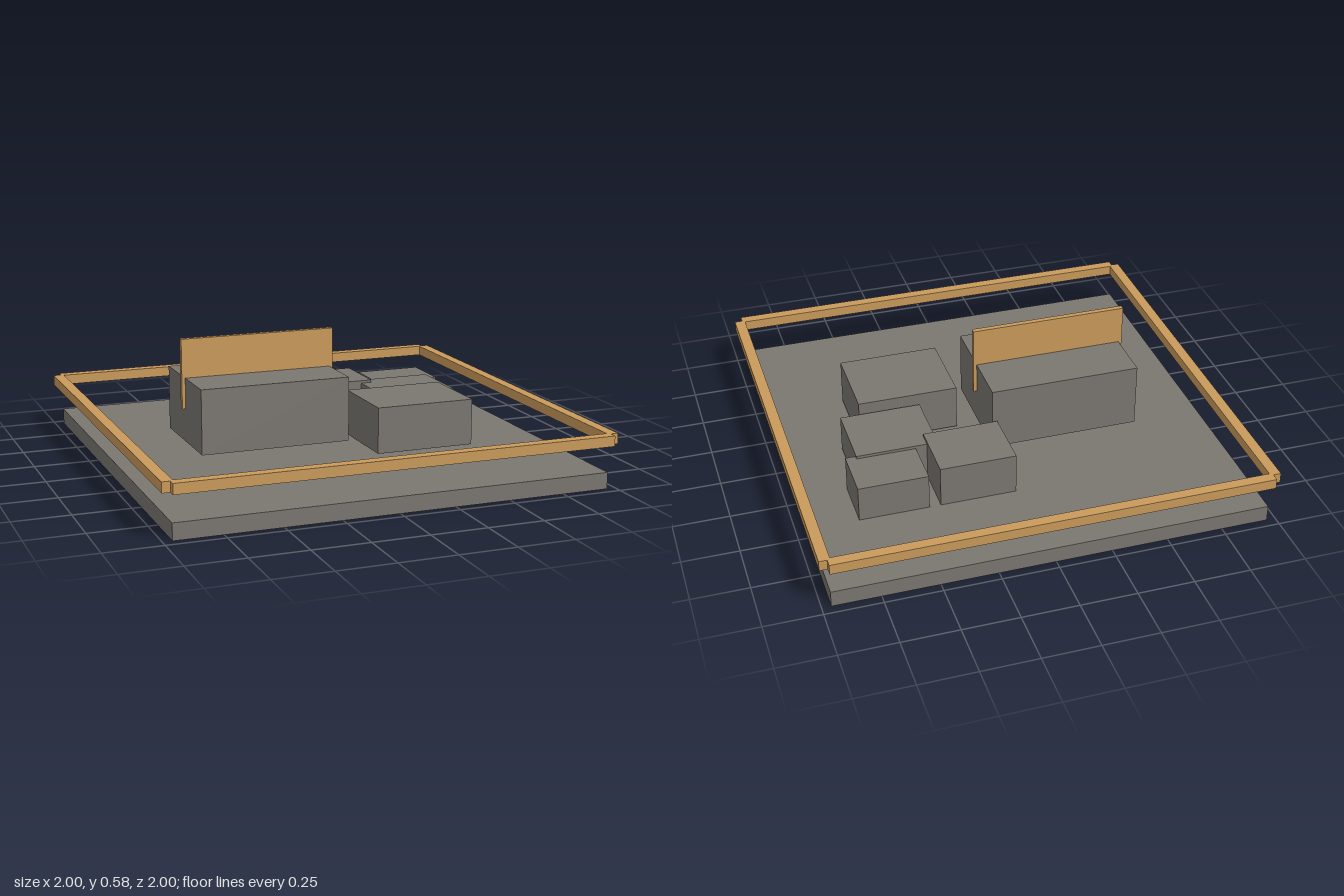
import * as THREE from 'three';

export function createModel() {
  const model = new THREE.Group();
  const stone = new THREE.MeshStandardMaterial({ color: 0x7a7670 });
  stone.name = 'grey stone';
  const wood = new THREE.MeshStandardMaterial({ color: 0xc99a5b });
  wood.name = 'light wood';

  // Box given by its lower and upper limits on each axis
  function block(name, material, [x0, x1], [y0, y1], [z0, z1]) {
    const mesh = new THREE.Mesh(new THREE.BoxGeometry(x1 - x0, y1 - y0, z1 - z0), material);
    mesh.position.set((x0 + x1) / 2, (y0 + y1) / 2, (z0 + z1) / 2);
    mesh.name = name;
    model.add(mesh);
  }

  // Ground slab
  block('baseSlab', stone, [-0.96, 0.96], [0, 0.073], [-0.96, 0.96]);

  // Floating border: four rails that overlap into notched corners
  const railY = [0.197, 0.243];
  for (const [side, span] of [['Positive', [0.952, 1]], ['Negative', [-1, -0.952]]]) {
    block('crossRail' + side, wood, [-0.965, 0.965], railY, span);
    block('sideRail' + side, wood, span, railY, [-0.965, 0.965]);
  }

  // Main raised block with an upright panel along its centre line
  block('mainBlock', stone, [-0.62, 0.06], [0.12, 0.41], [-0.25, 0.25]);
  block('uprightPanel', wood, [-0.635, 0.075], [0.27, 0.585], [-0.012, 0.012]);

  // Smaller blocks around it
  block('frontBlock', stone, [0.15, 0.605], [0.082, 0.29], [0.01, 0.373]);
  block('middleBlock', stone, [0.33, 0.695], [0.082, 0.248], [-0.32, -0.01]);
  block('backBlock', stone, [0.04, 0.38], [0.073, 0.26], [-0.535, -0.257]);
  block('cornerBlock', stone, [0.43, 0.74], [0.073, 0.235], [-0.535, -0.3]);

  return model;
}
